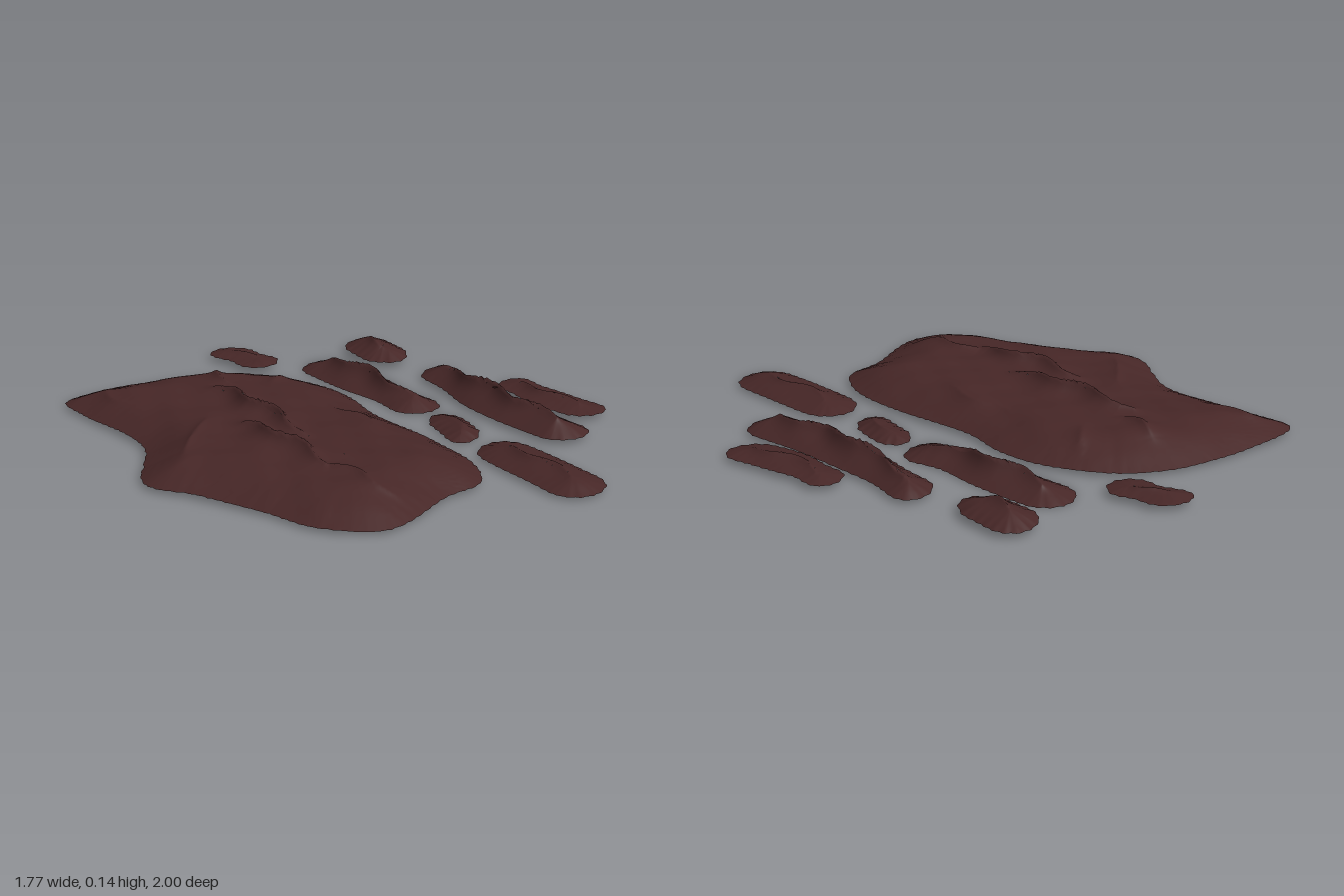
import * as THREE from 'three';

const { clamp, lerp } = THREE.MathUtils;

// Nearest point on a polyline of [x, z, height] points
function nearest(line, x, z) {
  let best = { d: Infinity };
  for (let i = 0; i < line.length - 1; i++) {
    const [ax, az, ah = 0] = line[i], [bx, bz, bh = 0] = line[i + 1];
    const ux = bx - ax, uz = bz - az;
    const t = clamp(((x - ax) * ux + (z - az) * uz) / (ux * ux + uz * uz), 0, 1);
    const px = ax + ux * t, pz = az + uz * t, d = Math.hypot(x - px, z - pz);
    if (d < best.d) best = { d, x: px, z: pz, h: lerp(ah, bh, t) };
  }
  return best;
}

// Gentle, repeatable surface unevenness in the range -1..1
function lumps(x, z) {
  return (Math.sin(13 * x + 5 * z + 2 * Math.sin(7 * z)) + Math.sin(17 * z - 9 * x + 2 * Math.sin(11 * x))
    + 0.6 * Math.sin(41 * x + 23 * z) + 0.5 * Math.sin(37 * z - 29 * x)) / 3.1;
}

// A wandering crest along a path, tapering to both ends
function crestLine(path, height, wander) {
  return Array.from({ length: 13 }, (_, i) => {
    const t = i / 12, [x, z] = path(t);
    return [x + wander * Math.sin(z * 23 + x * 9), z, height * (0.35 + 0.65 * Math.sin(Math.PI * t))];
  });
}

// A thin domed sheet: the outline shrinks in rings to a spine, raised by edge distance and crests
function sheet({ outline, spine, base, rise, shoulder, crests, width, rings }) {
  const segs = outline.length, loop = [...outline, outline[0]], pos = [], index = [];
  for (let r = 0; r <= rings; r++) {
    for (let i = 0; i < segs; i++) {
      const [ex, ez] = outline[i], c = nearest(spine, ex, ez);
      const x = lerp(c.x, ex, r / rings), z = lerp(c.z, ez, r / rings);
      const inset = r === rings ? 0 : nearest(loop, x, z).d;
      const dome = Math.sin(Math.min(inset / shoulder, 1) * Math.PI / 2);
      const crest = Math.max(...crests.map((line) => {
        const n = nearest(line, x, z);
        return n.h * Math.exp(-n.d / width);
      }));
      pos.push(x, base + dome * (rise + crest + 0.005 * lumps(x, z)) + 0.003 * lumps(x * 0.6, z * 0.6), z);
      if (r < rings) {
        const a = r * segs + i, b = r * segs + (i + 1) % segs;
        index.push(a, b, a + segs, b, b + segs, a + segs);
      }
    }
  }
  const g = new THREE.BufferGeometry();
  g.setAttribute('position', new THREE.Float32BufferAttribute(pos, 3));
  g.setIndex(index);
  g.computeVertexNormals();
  return g;
}

// Slightly ragged edge
const ragged = (x, z) => [x + 0.003 * Math.sin(z * 160 + x * 50), z + 0.003 * Math.sin(x * 140 + z * 40)];

// Main slab: a few outline corners joined by a smooth curve
const slabCorners = [[-0.7, -0.85], [-0.6, -0.88], [-0.13, -0.8], [0.07, -0.65], [0.18, -0.42], [0.19, -0.24],
  [0.15, -0.05], [0.16, 0.28], [0.13, 0.54], [0.03, 0.69], [-0.13, 0.71], [-0.45, 0.8],
  [-0.62, 0.66], [-0.69, 0.45], [-0.79, 0.2], [-0.88, 0.01], [-0.7, -0.3], [-0.71, -0.7]];

// Slab crests: from x, z, to x, z, height
const slabCrests = [
  [-0.6, -0.78, -0.58, -0.6, 0.018],
  [-0.17, -0.65, -0.2, -0.48, 0.03],
  [-0.27, -0.46, -0.28, 0.1, 0.055],
  [-0.4, -0.1, -0.38, 0.38, 0.055],
  [-0.38, 0.34, -0.33, 0.68, 0.022],
  [-0.47, -0.23, -0.7, -0.02, 0.018],
  [0, -0.1, -0.01, 0.2, 0.014],
  [0.07, -0.52, -0.07, -0.41, 0.016],
];

function slabGeometry() {
  const curve = new THREE.CatmullRomCurve3(slabCorners.map(([x, z]) => new THREE.Vector3(x, 0, z)), true, 'centripetal');
  return sheet({
    outline: curve.getSpacedPoints(260).slice(0, 260).map((p) => ragged(p.x, p.z)),
    spine: [[-0.28, -0.42], [-0.28, 0.35]],
    crests: slabCrests.map(([x0, z0, x1, z1, h]) => crestLine((t) => [lerp(x0, x1, t), lerp(z0, z1, t)], h, 0.018)),
    base: 0.025, rise: 0.068, shoulder: 0.24, width: 0.03, rings: 70,
  });
}

// Small strips: back end [x, z], front end [x, z], half width, sideways bend,
// waist position along the length and its depth, edge height, dome and crest heights
const strips = {
  backChip: { back: [0.09, -1], front: [0.14, -0.71], half: 0.085, bend: 0.01, waist: 0.5, pinch: 0.15, base: 0.033, rise: 0.012, crest: 0.018 },
  innerBackStrip: { back: [0.34, -0.69], front: [0.35, 0.03], half: 0.105, bend: 0, waist: 0.7, pinch: 0.22, base: 0.012, rise: 0.03, crest: 0.055 },
  outerBackChip: { back: [0.61, -0.76], front: [0.58, -0.44], half: 0.1, bend: -0.005, waist: 0.95, pinch: 0.2, base: 0.033, rise: 0.03, crest: 0.03 },
  longStrip: { back: [0.65, -0.32], front: [0.59, 0.59], half: 0.103, bend: -0.045, waist: 0.22, pinch: 0.22, base: 0.025, rise: 0.035, crest: 0.055 },
  outerStrip: { back: [0.78, -0.03], front: [0.81, 0.46], half: 0.09, bend: -0.025, waist: 0.25, pinch: 0.2, base: 0.03, rise: 0.012, crest: 0.024 },
  innerChip: { back: [0.345, 0.07], front: [0.275, 0.35], half: 0.073, bend: 0.01, waist: 0.05, pinch: 0.2, base: 0.014, rise: 0.02, crest: 0.015 },
  frontStrip: { back: [0.3, 0.42], front: [0.28, 0.99], half: 0.113, bend: 0, waist: 0.1, pinch: 0.05, base: 0.022, rise: 0.025, crest: 0.022 },
};

function stripGeometry({ back, front, half, bend, waist, pinch, base, rise, crest }) {
  const centre = (t) => [lerp(back[0], front[0], t) + bend * Math.sin(Math.PI * t), lerp(back[1], front[1], t)];
  const length = front[1] - back[1], cap = half / length;
  const outline = Array.from({ length: 120 }, (_, i) => {
    // Rounded ends joined by nearly straight sides
    const a = i / 120 * Math.PI * 2, t = 0.5 - 0.5 * Math.cos(a);
    const end = Math.min(t, 1 - t, cap) / cap;
    const narrow = 1 - pinch * Math.exp(-(((t - waist) / 0.16) ** 2));
    const side = Math.sign(Math.sin(a)) * half * narrow * Math.sqrt(end * (2 - end));
    const [x, z] = centre(t);
    return ragged(x + side, z);
  });
  const inner = (t) => centre(lerp(cap, 1 - cap, t));
  return sheet({
    outline, base, rise, shoulder: half,
    spine: [0, 0.25, 0.5, 0.75, 1].map(inner),
    crests: [crestLine(inner, crest, 0.018)],
    width: 0.025, rings: 20,
  });
}

export function createModel() {
  const group = new THREE.Group();
  const darkBrown = new THREE.MeshStandardMaterial({ color: 0x472727, side: THREE.DoubleSide });
  darkBrown.name = 'darkBrown';
  const add = (name, geometry) => {
    const mesh = new THREE.Mesh(geometry, darkBrown);
    mesh.name = name;
    group.add(mesh);
  };
  add('mainSlab', slabGeometry());
  for (const [name, strip] of Object.entries(strips)) add(name, stripGeometry(strip));
  return group;
}
